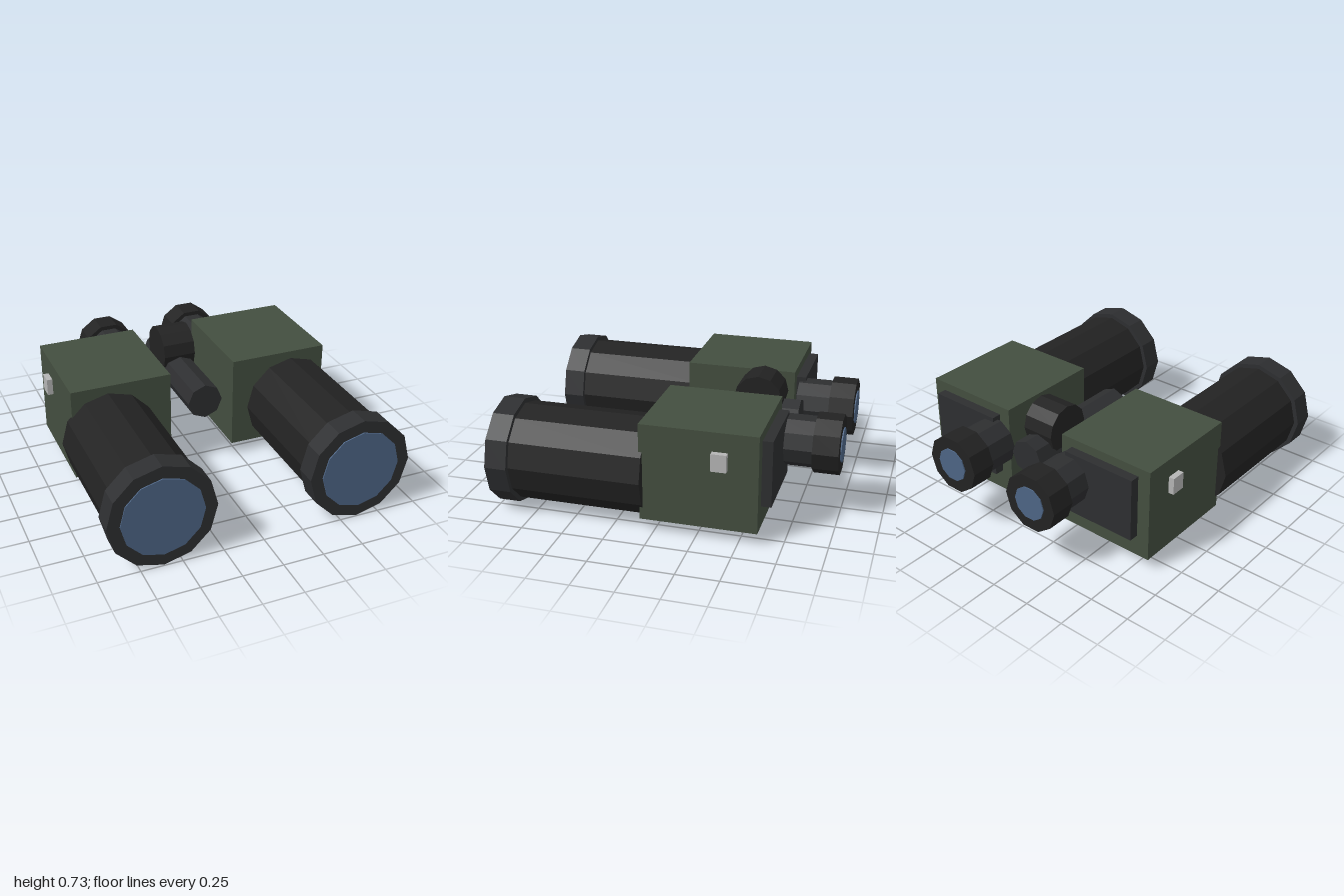
import * as THREE from 'three';

const paint = (color) => new THREE.MeshStandardMaterial({ color, flatShading: true });

export function createModel() {
  const model = new THREE.Group();
  model.name = 'binoculars';
  const green = paint(0x434e3f);
  const black = paint(0x222222);
  const rubber = paint(0x2d2e30);
  const glass = paint(0x4d6585);
  const metal = paint(0xb4b4b4);

  const add = (parent, name, geometry, material) => {
    const mesh = new THREE.Mesh(geometry, material);
    mesh.name = name;
    parent.add(mesh);
    return mesh;
  };

  // Box given by its two extreme corners
  const box = (parent, name, a, b, material) => {
    const size = a.map((v, i) => b[i] - v);
    add(parent, name, new THREE.BoxGeometry(...size), material)
      .position.set(...a.map((v, i) => (v + b[i]) / 2));
  };

  // Faceted cylinder along z, with corners on the x axis
  const barrel = (parent, name, r, sides, x, y, z0, z1, material) => {
    const g = new THREE.CylinderGeometry(r, r, z1 - z0, sides);
    g.rotateY(Math.PI / 2).rotateX(Math.PI / 2);
    add(parent, name, g, material).position.set(x, y, (z0 + z1) / 2);
  };

  // The two mirrored halves
  for (const s of [1, -1]) {
    const half = new THREE.Group();
    half.name = s > 0 ? 'leftHalf' : 'rightHalf';
    model.add(half);
    const sideBox = (name, x0, x1, y0, y1, z0, z1, material) =>
      box(half, name, [Math.min(s * x0, s * x1), y0, z0], [Math.max(s * x0, s * x1), y1, z1], material);

    sideBox('prismHousing', 0.21, 0.84, 0.08, 0.67, -0.61, 0.08, green);
    sideBox('backPlate', 0.285, 0.76, 0.215, 0.615, -0.67, -0.6, rubber);
    sideBox('strapLug', 0.83, 0.875, 0.45, 0.555, -0.435, -0.345, metal);

    // Objective end
    barrel(half, 'objectiveTube', 0.295, 12, s * 0.61, 0.327, 0.06, 0.88, black);
    barrel(half, 'objectiveRim', 0.323, 12, s * 0.61, 0.327, 0.86, 0.993, rubber);
    barrel(half, 'objectiveLens', 0.248, 12, s * 0.61, 0.327, 0.98, 1, glass);

    // Eyepiece end
    barrel(half, 'eyepieceTube', 0.153, 10, s * 0.305, 0.443, -0.85, -0.63, rubber);
    barrel(half, 'eyeCup', 0.18, 10, s * 0.305, 0.443, -0.993, -0.84, black);
    barrel(half, 'eyeLens', 0.105, 10, s * 0.305, 0.443, -1, -0.98, glass);
  }

  // Central hinge axle and focus wheel
  barrel(model, 'hingeAxle', 0.112, 8, 0, 0.462, -0.69, 0.13, rubber);
  const wheel = new THREE.CylinderGeometry(0.15, 0.15, 0.208, 12).rotateZ(Math.PI / 2);
  add(model, 'focusWheel', wheel, black).position.set(0, 0.586, -0.44);

  return model;
}
